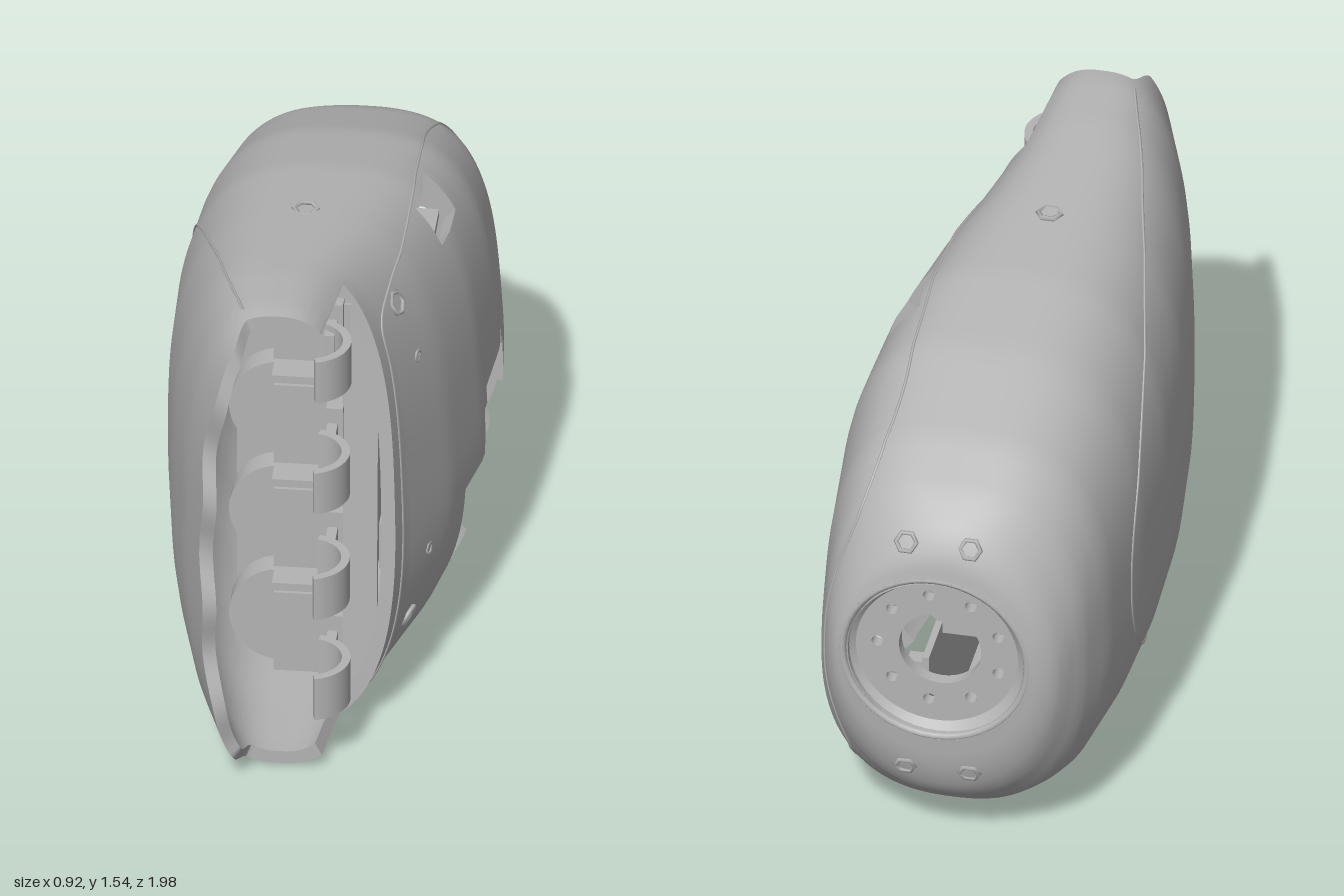
import * as THREE from 'three';
import { toCreasedNormals } from 'three/addons/utils/BufferGeometryUtils.js';

const grey = new THREE.MeshStandardMaterial({ color: 0xb4b4b4, side: THREE.DoubleSide });
grey.name = 'grey plastic';

// Cross-sections of the shell: z, left x, right x, bottom y, top y
const SECTIONS = [
  [-0.995, -0.25, 0.31, 0.42, 0.98], [-0.985, -0.29, 0.33, 0.32, 1.04],
  [-0.96, -0.325, 0.35, 0.24, 1.09], [-0.93, -0.345, 0.365, 0.19, 1.13],
  [-0.85, -0.385, 0.39, 0.12, 1.2], [-0.7, -0.425, 0.42, 0.07, 1.29],
  [-0.4, -0.46, 0.445, 0.02, 1.4], [-0.1, -0.472, 0.42, 0.005, 1.46],
  [0.2, -0.46, 0.36, 0, 1.49], [0.5, -0.42, 0.26, 0, 1.52],
  [0.6, -0.4, 0.235, 0, 1.53], [0.8, -0.35, 0.2, 0.005, 1.54], [1.02, -0.265, 0.15, 0.02, 1.52]];

// Point on the shell at angle a and depth z; inset gives the inner wall
function surf(a, z, inset = 0) {
  let i = 0;
  while (i < SECTIONS.length - 2 && z > SECTIONS[i + 1][0]) i++;
  const p = SECTIONS[i], q = SECTIONS[i + 1];
  const t = THREE.MathUtils.clamp((z - p[0]) / (q[0] - p[0]), 0, 1);
  const [xl, xr, yb, yt] = [1, 2, 3, 4].map(k => p[k] + (q[k] - p[k]) * t);
  const back = THREE.MathUtils.smoothstep(z, -1, -0.75);
  const c = Math.cos(a), s = Math.sin(a);
  // the upper right corner is squarer towards the back
  const boxy = c > 0 && s > 0 ? 0.6 * (1 - THREE.MathUtils.smoothstep(z, -0.4, 0.4)) : 0;
  const e = 2 / (2 + (0.7 + boxy) * back);
  const sx = Math.sign(c) * Math.abs(c) ** e, sy = Math.sign(s) * Math.abs(s) ** e;
  const skew = c > 0 ? 1 - 0.1 * sy * back : 1;
  return new THREE.Vector3((xl + xr) / 2 + sx * skew * ((xr - xl) / 2 - inset),
    (yb + yt) / 2 + sy * ((yt - yb) / 2 - inset), z + inset * (1 - back));
}

// Angle on the right side where the shell reaches height y
function angleAt(y, z) {
  let lo = -Math.PI / 2, hi = Math.PI / 2;
  for (let k = 0; k < 24; k++) {
    const mid = (lo + hi) / 2;
    if (surf(mid, z).y < y) lo = mid; else hi = mid;
  }
  return (lo + hi) / 2;
}
const at = (y, z) => surf(angleAt(y, z), z);

// Where the front edge ends: short right cover, longer roof, wavy left wall
function frontEdge(a) {
  const p = surf(a, 0.6);
  if (p.x > 0.075) return 0.62 - 0.055 * p.y;
  const wall = 0.97 + 0.016 * Math.cos((p.y - 0.6) / 0.36 * Math.PI * 2);
  return THREE.MathUtils.lerp(0.85, wall, THREE.MathUtils.smoothstep(-p.x, 0.19, 0.27));
}

// Openings on the right side: z range, y range
const CUTS = [
  [-0.62, 0.06, 0.22, 0.48], [-0.74, -0.62, 0.27, 0.44], // stepped thumb slot
  [-0.54, -0.14, 0.055, 0.22], [-0.54, -0.14, 0.48, 0.63], [-0.5, -0.18, 0.63, 0.685], // bay below and arch above
  [-0.14, 0.06, 0.055, 0.11], [-0.22, -0.02, 1.26, 1.38]]; // slit and window
const isCut = p => p.x > 0.08 &&
  CUTS.some(([z0, z1, y0, y1]) => p.z > z0 && p.z < z1 && p.y > y0 && p.y < y1);

// Rows of the shell grid, bent so that they run along the edges of the openings
const ROWS = 200, STEP = Math.PI * 2 / ROWS;
const LEVELS = [0.055, 0.11, 0.22, 0.27, 0.44, 0.48, 0.63, 0.685, 1.26, 1.38];
const rowOf = y => Math.round(angleAt(y, -0.14) / STEP) * STEP;
function rowAngle(a, z) {
  if (z < -0.78 || z > 0.12) return a;
  const s = a > Math.PI * 1.5 - 1e-6 ? a - Math.PI * 2 : a;
  if (s > Math.PI / 2) return a;
  const levels = z > -0.27 ? LEVELS : LEVELS.slice(0, 8);
  const knots = [[-Math.PI / 2, -Math.PI / 2], ...levels.map(y => [rowOf(y), angleAt(y, z)]), [Math.PI / 2, Math.PI / 2]];
  const k = Math.max(1, knots.findIndex(n => n[0] >= s - 1e-6));
  const [r0, a0] = knots[k - 1], [r1, a1] = knots[k];
  return THREE.MathUtils.mapLinear(s, r0, r1, a0, a1);
}

function shellGeometry() {
  const zs = [-0.995, -0.99, -0.985, -0.972, -0.96, -0.945, -0.93, -0.91, -0.88, -0.85, -0.82];
  for (let k = 0; k <= 32; k++) zs.push(-0.78 + k * 0.04);
  const fixed = zs.length, M = fixed + 10;
  const outer = [], inner = [], pos = [];
  for (let j = 0; j < M; j++) for (let i = 0; i < ROWS; i++) {
    const a0 = i * STEP;
    const z = j < fixed ? zs[j] : 0.5 + (frontEdge(a0) - 0.5) * (j - fixed + 1) / 10;
    const a = rowAngle(a0, z);
    outer.push(surf(a, z)); inner.push(surf(a, z, 0.04));
  }
  const id = (i, j) => j * ROWS + (i + ROWS) % ROWS;
  const quad = (a, b, c, d) => [a, b, c, a, c, d].forEach(v => pos.push(v.x, v.y, v.z));
  const solid = (i, j) => {
    if (j < 0 || j >= M - 1) return false;
    const mid = outer[id(i, j)].clone().add(outer[id(i + 1, j + 1)]).multiplyScalar(0.5);
    return !isCut(mid);
  };
  const wall = (a, b) => quad(outer[b], outer[a], inner[a], inner[b]);
  for (let j = 0; j < M - 1; j++) for (let i = 0; i < ROWS; i++) {
    if (!solid(i, j)) continue;
    const a = id(i, j), b = id(i + 1, j), c = id(i + 1, j + 1), d = id(i, j + 1);
    quad(outer[a], outer[b], outer[c], outer[d]);
    quad(inner[d], inner[c], inner[b], inner[a]);
    if (!solid(i, j - 1)) wall(a, b);
    if (!solid(i + 1, j)) wall(b, c);
    if (!solid(i, j + 1)) wall(c, d);
    if (!solid(i - 1, j)) wall(d, a);
  }
  const g = new THREE.BufferGeometry();
  g.setAttribute('position', new THREE.Float32BufferAttribute(pos, 3));
  return toCreasedNormals(g, 0.5);
}

const polygon = pts => new THREE.Shape(pts.map(p => new THREE.Vector2(...p)));
const extrude = (shape, depth) =>
  new THREE.ExtrudeGeometry(shape, { depth, bevelEnabled: false, curveSegments: 24 });

export function createModel() {
  const model = new THREE.Group();
  model.name = 'palmHousing';
  const add = (name, geo, x = 0, y = 0, z = 0) => {
    const m = new THREE.Mesh(geo, grey);
    m.name = name;
    m.position.set(x, y, z);
    model.add(m);
    return m;
  };
  const box = (name, x0, x1, y0, y1, z0, z1) => add(name, new THREE.BoxGeometry(x1 - x0, y1 - y0, z1 - z0),
    (x0 + x1) / 2, (y0 + y1) / 2, (z0 + z1) / 2);

  add('shell', shellGeometry());

  // Fine seams of the two covers, as angle and depth on the shell
  const seam = (name, pts) => {
    const path = new THREE.CatmullRomCurve3(pts.map(([a, z]) => new THREE.Vector3(a, z, 0)));
    const curve = new THREE.CatmullRomCurve3(path.getPoints(120).map(p => surf(p.x, p.y)));
    add(name, new THREE.TubeGeometry(curve, 240, 0.005, 5));
  };
  const leftSeam = [];
  for (let k = -20; k <= 20; k++) leftSeam.push([Math.PI + k / 20 * 1.3, -0.5 + 1.3 * Math.abs(k / 20) ** 1.7]);
  seam('leftCoverSeam', leftSeam);
  seam('rightCoverSeam', [[-0.95, 0.55], [-0.5, 0.54], [0, 0.52], [0.4, 0.5], [0.68, 0.47], [0.8, 0.35], [0.95, 0.1],
    [1.12, -0.2], [1.18, -0.5], [1.08, -0.72], [0.85, -0.85], [0.45, -0.9], [0, -0.9], [-0.5, -0.9], [-0.8, -0.85],
    [-1, -0.74], [-1.1, -0.56]]);
  seam('lowerCoverSeam', [[-0.95, 0.55], [-1.12, 0.3], [-1.2, 0.08]]);

  // Wrist socket: recessed disc with a bore and bolt holes
  const disc = new THREE.Shape().absarc(0, 0, 0.26, 0, Math.PI * 2);
  const hole = (x, y, r) => disc.holes.push(new THREE.Path().absarc(x, y, r, 0, Math.PI * 2, true));
  hole(0, 0, 0.122);
  for (let k = 0; k < 9; k++) hole(0.185 * Math.cos(k * 0.698), 0.185 * Math.sin(k * 0.698), 0.018);
  add('wristDisc', extrude(disc, 0.04), 0.025, 0.7, -0.935);
  add('wristWall', new THREE.CylinderGeometry(0.262, 0.262, 0.06, 48, 1, true), 0.025, 0.7, -0.96).rotation.x = Math.PI / 2;
  add('wristLip', new THREE.TorusGeometry(0.275, 0.012, 8, 48), 0.03, 0.7, -0.985);

  // Hexagonal screw sockets, turned to face along the surface
  const screw = (p, dir, r) => {
    const m = add('screwSocket', new THREE.TorusGeometry(r, r * 0.25, 5, 6), p.x, p.y, p.z);
    m.quaternion.setFromUnitVectors(new THREE.Vector3(0, 0, 1), new THREE.Vector3(...dir).normalize());
  };
  for (const [z, y, r] of [[0.35, 1.29, 0.034], [0.41, 0.26, 0.034], [0.33, 1.1, 0.018], [0.34, 0.45, 0.018]])
    screw(at(y, z), [1, y > 1.2 ? 0.5 : y < 0.3 ? -0.5 : 0, 0.3], r);
  screw(new THREE.Vector3(-0.06, 1.487, 0.18), [0, 1, 0.1], 0.034);
  for (const x of [-0.07, 0.12]) {
    screw(new THREE.Vector3(x, 1.08, -0.96), [0, 0.5, -1], 0.03);
    screw(new THREE.Vector3(x, 0.3, -0.975), [0, -0.4, -1], 0.03);
  }

  // Side window pocket
  box('windowBack', 0.18, 0.2, 1.22, 1.39, -0.24, 0.01);
  box('windowFloor', 0.18, 0.285, 1.22, 1.245, -0.24, 0.01);

  // Thumb bay: inner wall, lower step, tab and arched pocket
  box('thumbBayWall', 0.1, 0.12, 0.1, 0.52, -0.74, 0.08);
  box('thumbBayStep', 0.12, 0.2, 0.06, 0.215, -0.53, -0.15);
  box('thumbBayTab', 0.12, 0.22, 0.19, 0.32, -0.485, -0.435);
  const arch = polygon([[0.21, 0], [0.21, 0.15], [0.17, 0.215], [-0.17, 0.215], [-0.21, 0.15],
    [-0.21, 0], [-0.2, 0], [-0.2, 0.145], [-0.16, 0.205], [0.16, 0.205], [0.2, 0.145], [0.2, 0]]);
  add('thumbArch', extrude(arch, 0.27).rotateY(-Math.PI / 2), 0.12, 0.48, -0.34);

  // Front flange of the right cover, leaning back with its edge
  const flange = polygon([[0.09, 0.09], [0.15, 0.15], [0.19, 0.35], [0.19, 1.15], [0.15, 1.35], [0.09, 1.43]]);
  add('frontFlange', extrude(flange, 0.03), 0, 0, 0.585).rotation.x = -0.055;
  box('flangeRail', 0.085, 0.11, 0.09, 1.4, 0.45, 0.55);

  // Four finger bays: block, drum, divider, hooked clip
  box('bulkhead', -0.24, 0.1, 0.12, 1.4, 0.36, 0.375);
  const clip = new THREE.Shape();
  clip.absarc(0, 0, 0.125, -1.35, 1.3);
  clip.absarc(0, 0, 0.1, 1.3, -1.35, true);
  [0.25, 0.605, 0.96, 1.315].forEach((y, k) => {
    box('fingerBlock', -0.12, 0.04, y - 0.145, y + 0.12, 0.36, 0.5);
    if (k < 3) box('fingerDivider', -0.12, 0.1, y + 0.165, y + 0.19, 0.36, 0.56);
    box('clipSeat', 0.04, 0.09, y - 0.1, y + 0.1, 0.4, 0.58);
    add('fingerDrum', new THREE.CylinderGeometry(0.155, 0.155, 0.08, 32), -0.1, y + 0.02, 0.42).rotation.x = Math.PI / 2;
    add('fingerClip', extrude(clip, 0.14).rotateX(Math.PI / 2), 0.005, y + 0.07, [0.76, 0.78, 0.77, 0.73][k]);
    box('clipArm', 0.045, 0.075, y - 0.05, y + 0.05, 0.55, 0.67);
  });
  return model;
}
